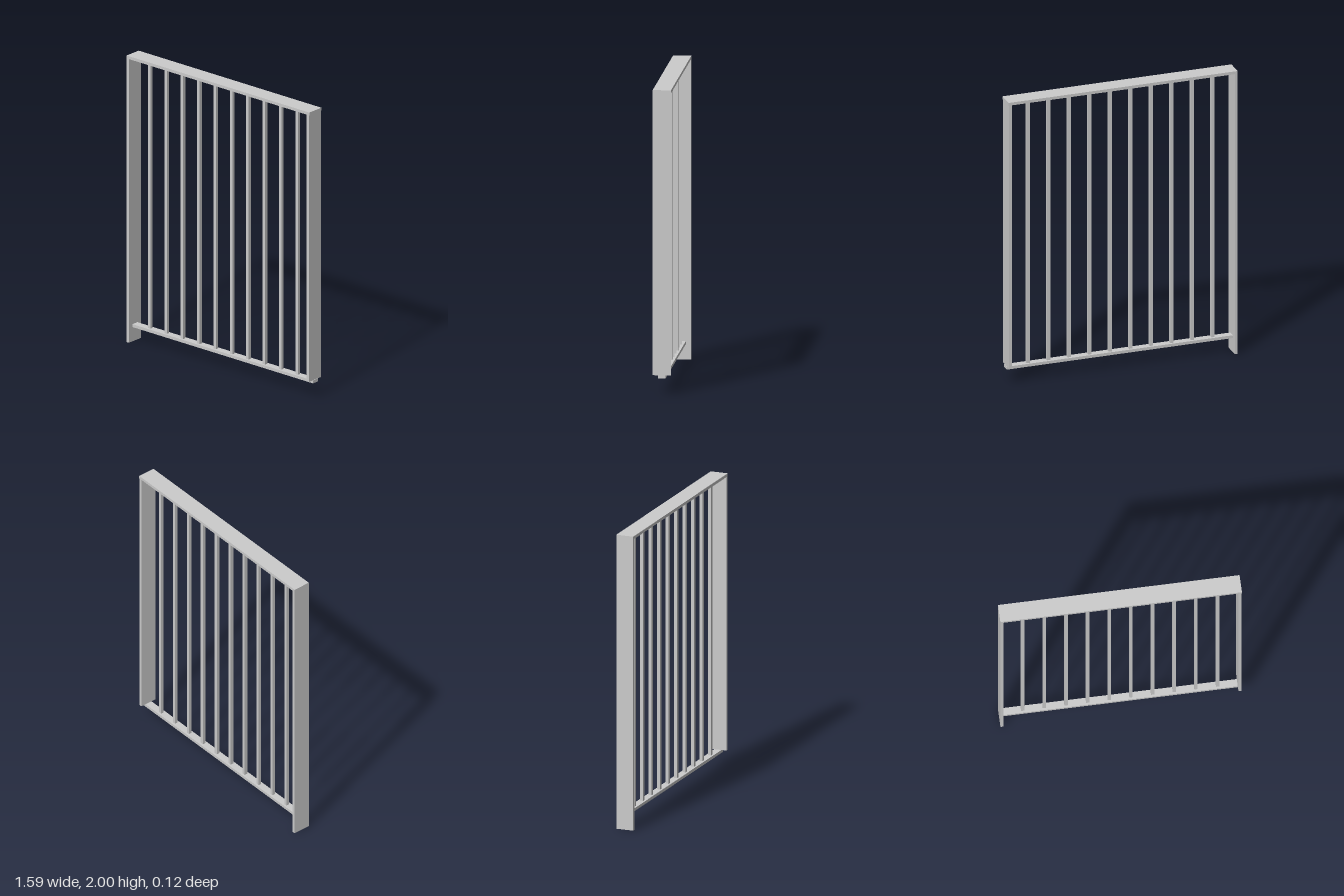
import * as THREE from 'three';

export function createModel() {
  const group = new THREE.Group();
  const material = new THREE.MeshStandardMaterial({ color: 0xcccccc, flatShading: true });

  // Box given by its x and y limits and its depth, centred on z = 0
  function bar(name, x0, x1, y0, y1, depth) {
    const mesh = new THREE.Mesh(new THREE.BoxGeometry(x1 - x0, y1 - y0, depth), material);
    mesh.position.set((x0 + x1) / 2, (y0 + y1) / 2, 0);
    mesh.name = name;
    group.add(mesh);
  }

  const depth = 0.12;
  const railBottom = 0.1, railTop = 0.12, headBottom = 1.98;

  // Flat outer frame: one post runs to the ground, the other rests on the lower rail
  bar('topRail', -0.795, 0.795, headBottom, 2, depth);
  bar('longPost', -0.795, -0.775, 0, headBottom, depth);
  bar('shortPost', 0.772, 0.792, railTop, headBottom, depth);

  // Narrow lower rail
  bar('bottomRail', -0.775, 0.795, railBottom, railTop, 0.05);

  // Evenly spaced square balusters
  const count = 10, spacing = 0.1425, half = 0.011;
  for (let i = 0; i < count; i++) {
    const x = (i - (count - 1) / 2) * spacing;
    bar(`baluster${i + 1}`, x - half, x + half, railTop, headBottom, 2 * half);
  }
  return group;
}
